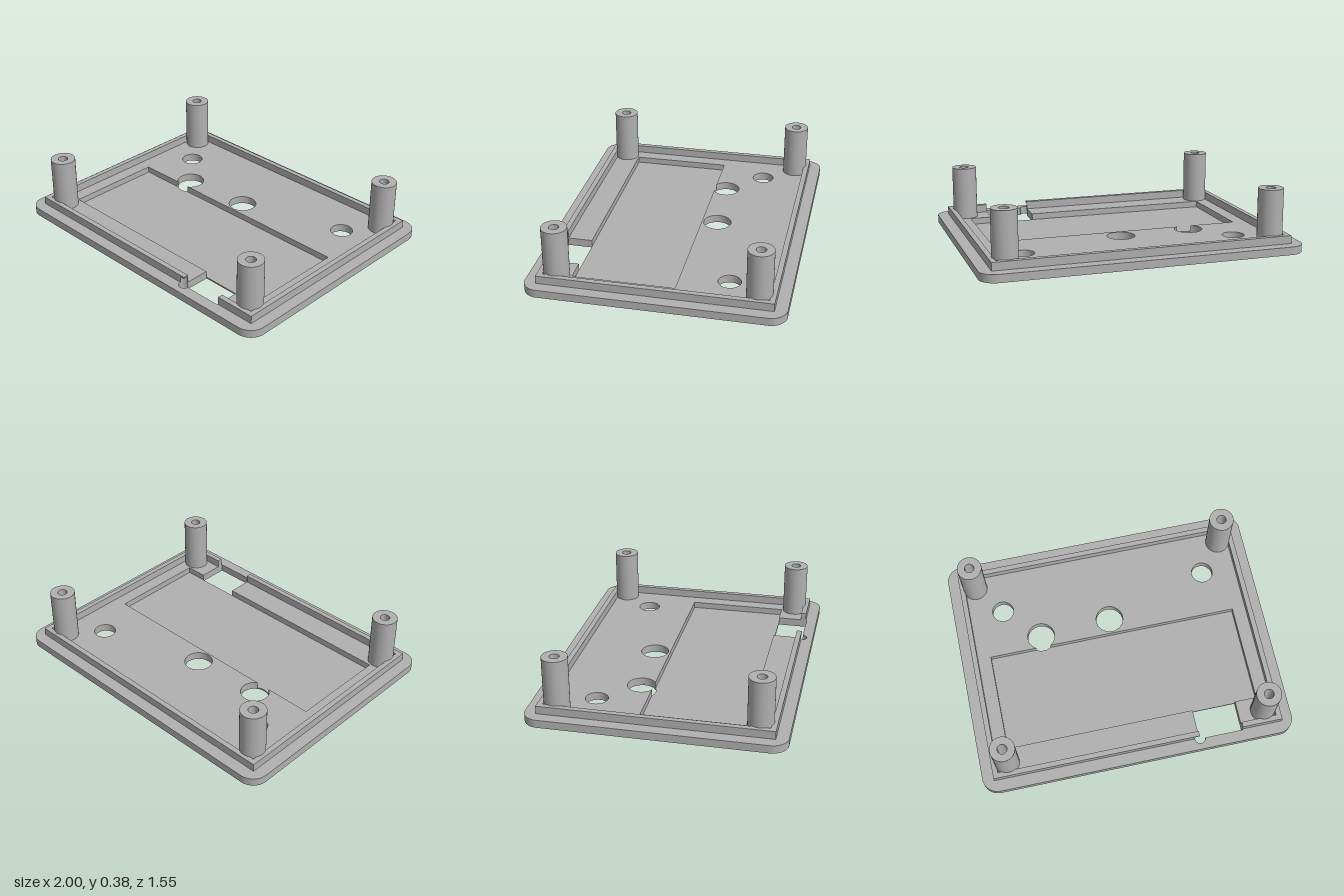
import * as THREE from 'three';
import { toCreasedNormals } from 'three/addons/utils/BufferGeometryUtils.js';

const rad = THREE.MathUtils.degToRad;

// Extrude a plan drawing (x, -z) upwards from y0 to y1
function slab(name, shape, y0, y1, material) {
  const geo = new THREE.ExtrudeGeometry(shape, { depth: y1 - y0, bevelEnabled: false, curveSegments: 32 });
  geo.rotateX(-Math.PI / 2).translate(0, y0, 0);
  const mesh = new THREE.Mesh(toCreasedNormals(geo, 0.5), material);
  mesh.name = name;
  return mesh;
}

function plateOutline() {
  const w = 1, d = 0.777, r = 0.1, s = new THREE.Shape();
  s.absarc(w - r, d - r, r, 0, rad(90));
  s.absarc(-w + r, d - r, r, rad(90), rad(180));
  s.absarc(-w + r, -d + r, r, rad(180), rad(270));
  s.absarc(w - r, -d + r, r, rad(270), rad(360));
  s.closePath();
  return s;
}

function circle(x, z, r) {
  const p = new THREE.Path();
  p.absarc(x, -z, r, 0, Math.PI * 2);
  return p;
}

// Connector cutout with the small round cable notch at its corner
function traceCutout(p) {
  p.lineTo(0.39, -0.517);
  p.absarc(0.395, -0.705, 0.033, rad(98.7), rad(354.8), false);
  p.lineTo(0.67, -0.708);
  p.lineTo(0.67, -0.517);
}

// Raised lip, open at the connector; the lower layer carries the notch
function lipShape(notched) {
  const s = new THREE.Shape();
  s.moveTo(0.67, -0.703);
  for (const [x, y] of [[0.928, -0.703], [0.928, 0.703], [-0.928, 0.703], [-0.928, -0.703]]) s.lineTo(x, y);
  if (notched) s.absarc(0.395, -0.705, 0.033, rad(176.5), rad(98.7), true);
  else s.lineTo(0.39, -0.703);
  for (const [x, y] of [[0.39, -0.67], [-0.895, -0.67], [-0.895, 0.67], [0.895, 0.67], [0.895, -0.67], [0.67, -0.67]]) s.lineTo(x, y);
  s.closePath();
  return s;
}

export function createModel() {
  const group = new THREE.Group();
  group.name = 'enclosureLid';
  const grey = new THREE.MeshStandardMaterial({ color: 0xb0b0b0 });
  grey.name = 'grey plastic';

  const holes = () => [circle(-0.677, -0.405, 0.069), circle(0.675, -0.405, 0.069), circle(0, -0.207, 0.088)];

  // Thin bottom skin
  const skin = plateOutline();
  const cutout = new THREE.Path();
  cutout.moveTo(0.67, -0.517);
  traceCutout(cutout);
  skin.holes.push(...holes(), circle(-0.463, -0.182, 0.088), cutout);
  group.add(slab('bottomSkin', skin, 0, 0.01, grey));

  // Main plate with the display pocket, joined to the cutout and one hole
  const plate = plateOutline();
  const pocket = new THREE.Path();
  pocket.moveTo(-0.81, 0.107);
  pocket.lineTo(-0.81, -0.517);
  traceCutout(pocket);
  pocket.lineTo(0.81, -0.517);
  pocket.lineTo(0.81, 0.107);
  pocket.absarc(-0.463, 0.182, 0.088, rad(-58.5), rad(238.5), false);
  pocket.closePath();
  plate.holes.push(...holes(), pocket);
  group.add(slab('basePlate', plate, 0.01, 0.05, grey));

  // Lip
  group.add(slab('lowerLip', lipShape(true), 0.05, 0.09, grey));
  group.add(slab('upperLip', lipShape(false), 0.09, 0.1, grey));

  // Screw posts with blind holes
  const profile = [[0.078, 0.05], [0.078, 0.385], [0.03, 0.385], [0.03, 0.1], [0, 0.1]]
    .map(([x, y]) => new THREE.Vector2(x, y));
  const postGeo = toCreasedNormals(new THREE.LatheGeometry(profile, 40).toNonIndexed(), 0.5);
  for (const x of [-0.828, 0.828]) {
    for (const z of [-0.604, 0.604]) {
      const post = new THREE.Mesh(postGeo, grey);
      post.name = `${z > 0 ? 'front' : 'back'}${x > 0 ? 'Left' : 'Right'}Post`;
      post.position.set(x, 0, z);
      group.add(post);
    }
  }
  return group;
}
